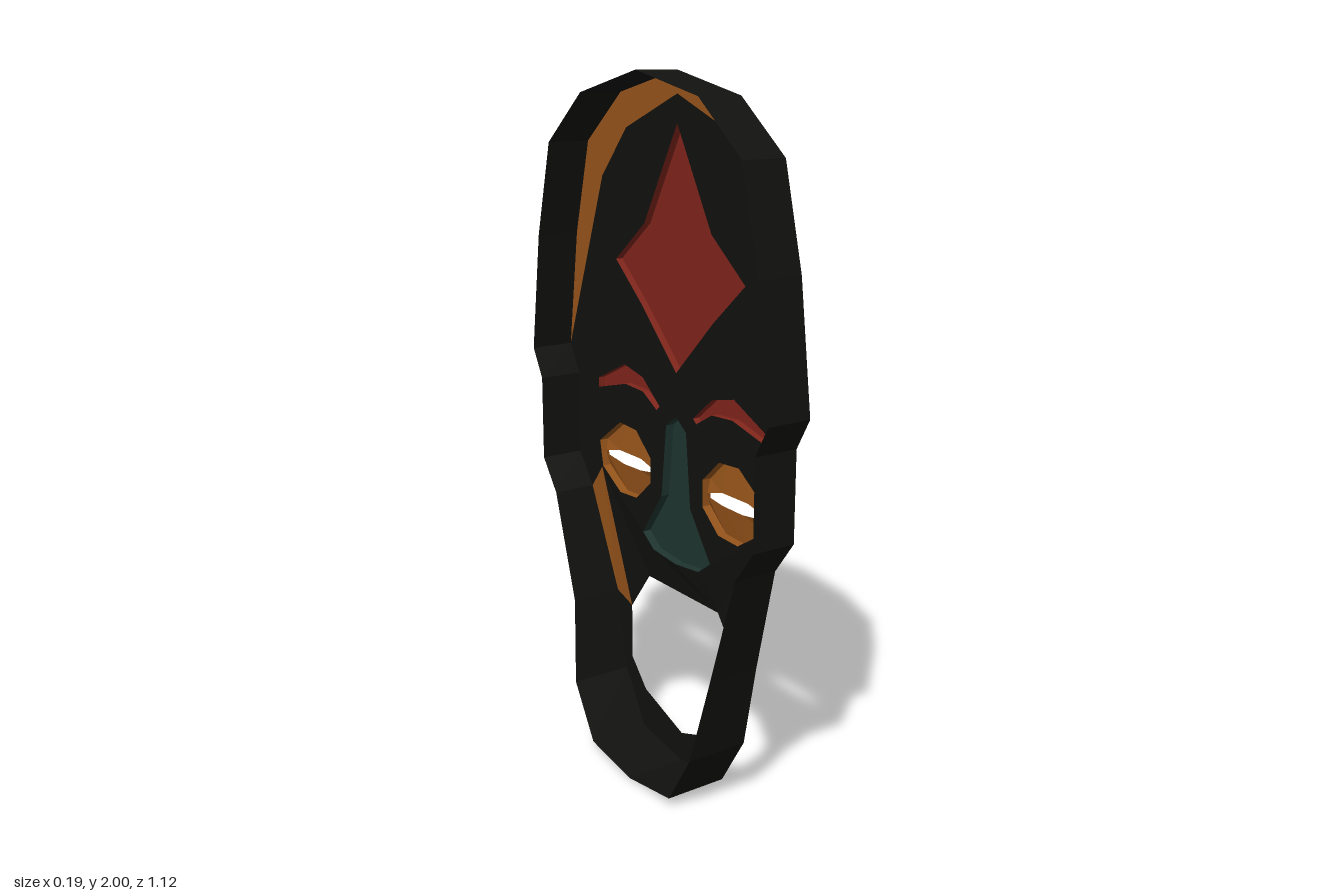
import * as THREE from 'three';

const mat = (color) => new THREE.MeshStandardMaterial({ color, flatShading: true, side: THREE.DoubleSide });
const BLACK = mat(0x11110f), OCHRE = mat(0x96541a), RED = mat(0x80251b), TEAL = mat(0x1e352f);

// The mask faces +x. Profiles are [z, y] points.
const FACE_X = 0.065;
// The front surface steps forward around the mouth, the rear rim steps back under the chin
const frontX = (y) => FACE_X + 0.026 * THREE.MathUtils.clamp((0.63 - y) / 0.09, 0, 1);
const backX = (y) => -0.066 - 0.03 * THREE.MathUtils.clamp((0.43 - y) / 0.23, 0, 1);

const flip = (pts) => pts.map(([z, y]) => [-z, y]).reverse();
// Mirrors a half profile that starts or ends on the centre line
const whole = (half) => [...half, ...flip(half).filter(([z]) => z !== 0)];
// Mirrors a half profile into an open arch through its first point
const arch = (half) => [...flip(half), ...half.slice(1)];
const toVectors = (pts) => pts.map(([z, y]) => new THREE.Vector2(-z, y));

function add(group, name, geometry, material) {
  geometry.computeVertexNormals();
  const mesh = new THREE.Mesh(geometry, material);
  mesh.name = name;
  group.add(mesh);
}

// Thin sheet filling an outline, with its depth set by a rule on height
function sheet(pts, depth, holes = []) {
  const shape = new THREE.Shape(toVectors(pts));
  holes.forEach((h) => shape.holes.push(new THREE.Path(toVectors(h))));
  const geo = new THREE.ShapeGeometry(shape).rotateY(Math.PI / 2);
  const p = geo.attributes.position;
  for (let i = 0; i < p.count; i++) p.setX(i, depth(p.getY(i)));
  return geo.toNonIndexed();
}

// Closed band of quads joining two loops with the same number of points
function band(a, depthA, b, depthB) {
  const v = [];
  const at = (pts, depth, i) => {
    const [z, y] = pts[i % pts.length];
    return [depth(y), y, z];
  };
  for (let i = 0; i < a.length; i++) {
    const p = at(a, depthA, i), q = at(a, depthA, i + 1);
    const r = at(b, depthB, i + 1), s = at(b, depthB, i);
    v.push(...p, ...q, ...r, ...p, ...r, ...s);
  }
  const geo = new THREE.BufferGeometry();
  geo.setAttribute('position', new THREE.Float32BufferAttribute(v, 3));
  return geo;
}

// Raised hollow relief, open to the rear
function relief(group, name, pts, height, material) {
  add(group, name, sheet(pts, () => height), material);
  add(group, name + 'Edge', band(pts, () => FACE_X, pts, () => height), material);
}

export function createModel() {
  const mask = new THREE.Group();
  mask.name = 'mask';

  // Profiles, running counterclockwise as seen from the face side
  const crown = [[0, 2], [0.27, 1.94], [0.445, 1.8], [0.515, 1.53], [0.562, 1.185]];
  const hairline = [[0, 1.94], [0.244, 1.845], [0.37, 1.705], [0.562, 1.185]];
  const temple = [[0.515, 1.1], [0.515, 0.85], [0.445, 0.755]];
  const chin = [[0.345, 0.435], [0.297, 0.19], [0.2, 0.03], [0, 0]];
  const mouthLow = [[0.265, 0.41], [0.265, 0.24], [0.19, 0.157], [0, 0.09]];
  const cheekTop = [0.387, 0.83];

  const diamond = whole([[0, 1.865], [0.155, 1.59], [0.3, 1.475], [0.167, 1.36], [0, 1.195]]);
  const nose = whole([[0, 1.07], [0.048, 1.035], [0.07, 0.82], [0.165, 0.685], [0.11, 0.645], [0, 0.634]]);
  const brow = [[0.08, 1.083], [0.165, 1.152], [0.26, 1.173], [0.4, 1.107],
    [0.4, 1.078], [0.255, 1.115], [0.165, 1.11], [0.095, 1.07]];
  const eye = [[0.127, 0.92], [0.2, 0.987], [0.286, 0.992], [0.398, 0.912],
    [0.382, 0.834], [0.286, 0.775], [0.2, 0.78], [0.127, 0.843]];
  const slit = [[0.13, 0.88], [0.196, 0.898], [0.308, 0.898], [0.385, 0.88],
    [0.385, 0.872], [0.286, 0.86], [0.2, 0.862], [0.13, 0.872]];

  // Outer rim
  const outline = whole([...crown, ...temple, ...chin]);
  add(mask, 'rim', band(outline, backX, outline, frontX), BLACK);

  // Face plate, opened behind every relief
  const face = whole([...hairline, ...temple, cheekTop, mouthLow[0], [0.17, 0.537]]);
  const openings = [diamond, nose, brow, flip(brow), eye, flip(eye)];
  add(mask, 'face', sheet(face, frontX, openings), BLACK);

  // Headband crescent between crown and hairline
  const headband = [...arch(crown), ...arch(hairline).reverse().slice(1, -1)];
  add(mask, 'headband', sheet(headband, frontX), OCHRE);

  // Jaw band around the open mouth
  add(mask, 'jaw', sheet([...whole(chin), ...whole(mouthLow).reverse()], frontX), BLACK);

  // Central reliefs
  relief(mask, 'foreheadDiamond', diamond, 0.086, RED);
  relief(mask, 'nose', nose, 0.091, TEAL);

  // Paired brows, eyes and cheek stripes
  for (const [side, place] of [['left', flip], ['right', (pts) => pts]]) {
    relief(mask, side + 'Brow', place(brow), 0.086, RED);
    const outer = place(eye), inner = place(slit);
    add(mask, side + 'EyeEdge', band(outer, () => FACE_X, outer, () => 0.092), OCHRE);
    add(mask, side + 'Eyelids', band(outer, () => 0.092, inner, () => 0.08), OCHRE);
    add(mask, side + 'Cheek', sheet(place([temple[2], chin[0], mouthLow[0], cheekTop]), frontX), OCHRE);
  }
  return mask;
}
